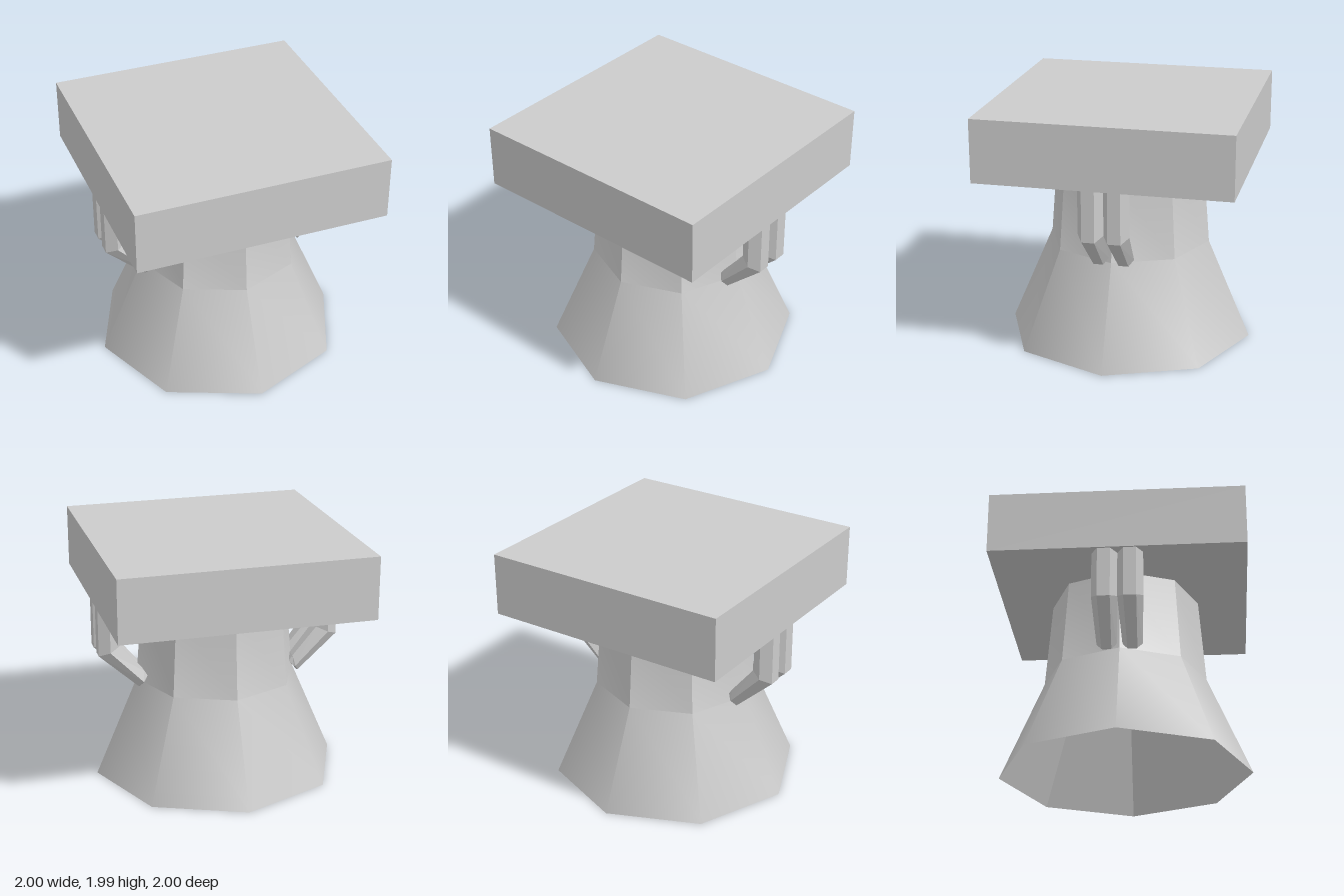
import * as THREE from 'three';
import { toCreasedNormals } from 'three/addons/utils/BufferGeometryUtils.js';

const grey = new THREE.MeshStandardMaterial({ color: 0xcccccc });
const flatGrey = new THREE.MeshStandardMaterial({ color: 0xcccccc, flatShading: true });

function addMesh(parent, name, geometry, material) {
  const mesh = new THREE.Mesh(geometry, material);
  mesh.name = name;
  parent.add(mesh);
  return mesh;
}

// Eight-sided shell from [radius, height] pairs; listed upwards it faces outwards.
function octagon(profile) {
  return new THREE.LatheGeometry(profile.map(([r, y]) => new THREE.Vector2(r, y)), 8);
}

// Six-sided bent prong: each ring gives its outer, middle and inner [x, y] and its half width.
function prongGeometry(z) {
  const rings = [
    { outer: [0.985, 1.5], mid: [0.9, 1.5], inner: [0.815, 1.5], w: 0.1 },
    { outer: [0.985, 1.08], mid: [0.9, 1.115], inner: [0.815, 1.15], w: 0.1 },
    { outer: [0.667, 0.787], mid: [0.635, 0.836], inner: [0.622, 0.915], w: 0.078 },
    { outer: [0.66, 0.785], mid: [0.624, 0.832], inner: [0.592, 0.87], w: 0.065 },
  ];
  const positions = [];
  const index = [];
  for (const { outer, mid, inner, w } of rings) {
    const corners = [[outer, w / 2], [mid, w], [inner, w / 2], [inner, -w / 2], [mid, -w], [outer, -w / 2]];
    for (const [[x, y], dz] of corners) positions.push(x, y, z + dz);
  }
  for (let r = 0; r < rings.length - 1; r++) {
    for (let i = 0; i < 6; i++) {
      const a = r * 6 + i, b = r * 6 + (i + 1) % 6;
      index.push(a, b, a + 6, b, b + 6, a + 6);
    }
  }
  // End cap at the tip
  const tip = (rings.length - 1) * 6;
  for (let i = 1; i < 5; i++) index.push(tip, tip + i, tip + i + 1);
  const geometry = new THREE.BufferGeometry();
  geometry.setAttribute('position', new THREE.Float32BufferAttribute(positions, 3));
  geometry.setIndex(index);
  geometry.computeVertexNormals();
  return geometry;
}

export function createModel() {
  const model = new THREE.Group();
  model.name = 'pedestal';

  // Square slab on top
  addMesh(model, 'topSlab', new THREE.BoxGeometry(2, 0.5, 2), grey).position.y = 1.74;

  // Column with flared skirt: creased on the column, soft on the skirt
  const column = octagon([[1, 0], [0.655, 0.8], [0.6, 1.49]]);
  addMesh(model, 'flaredColumn', toCreasedNormals(column, THREE.MathUtils.degToRad(43)), grey);

  // Hollow underside, facing inwards
  addMesh(model, 'hollowInside', octagon([[0.355, 1.49], [1, 0]]), flatGrey);

  // A pair of bent prongs on each side
  for (const [side, turn] of [['left', 0], ['right', Math.PI]]) {
    const prongs = new THREE.Group();
    prongs.name = side + 'Prongs';
    prongs.rotation.y = turn;
    for (const z of [-0.1, 0.1]) addMesh(prongs, 'prong', prongGeometry(z), flatGrey);
    model.add(prongs);
  }
  return model;
}
